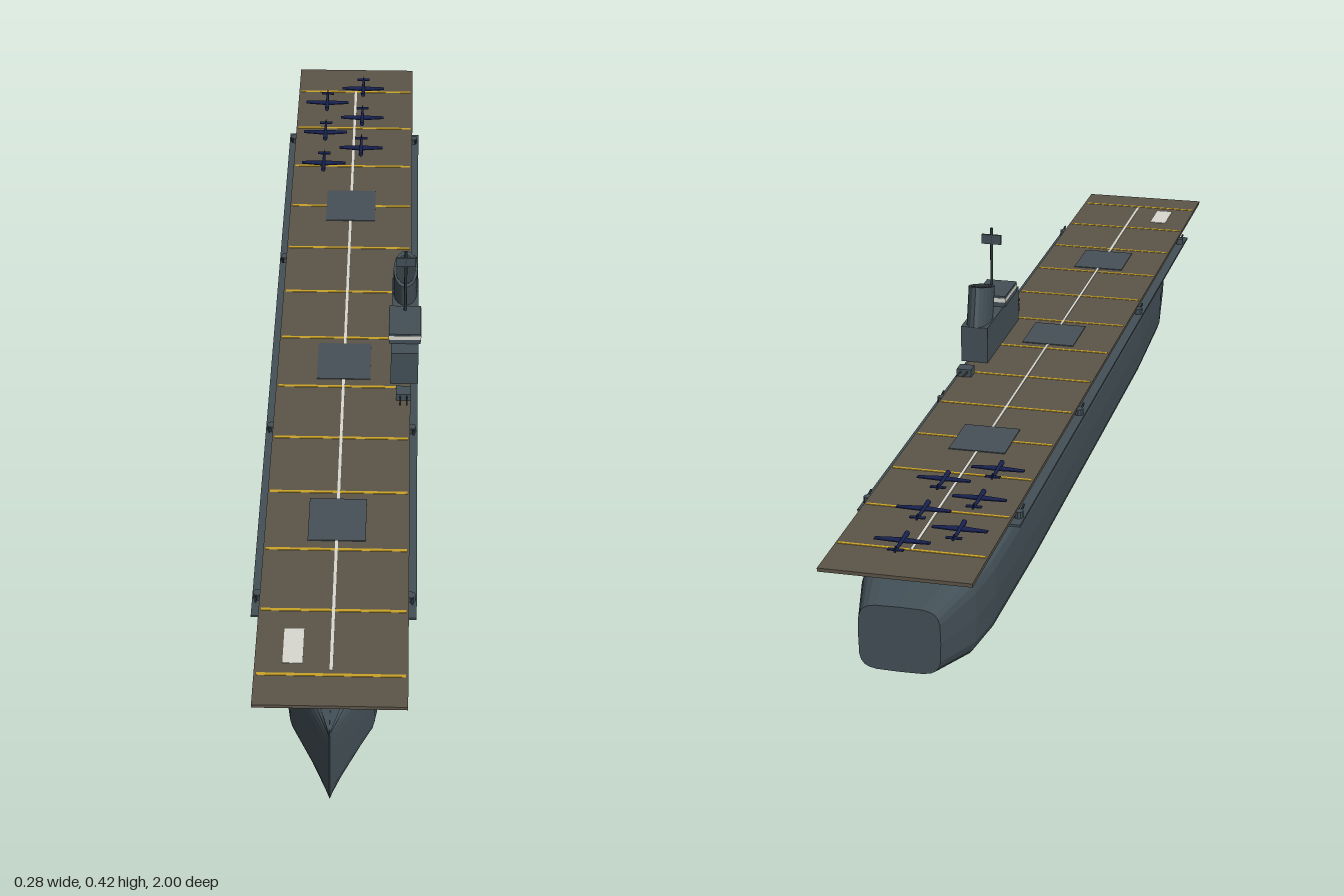
import * as THREE from 'three';

const mat = (name, color, extra = {}) => {
  const m = new THREE.MeshStandardMaterial({ color, ...extra });
  m.name = name;
  return m;
};

export function createModel() {
  const hullGrey = mat('hull grey', 0x435057, { flatShading: true });
  const liftGrey = mat('elevator grey', 0x465057);
  const deckBrown = mat('deck brown', 0x5c5549);
  const yellow = mat('stripe yellow', 0xc9a227);
  const white = mat('marking white', 0xd8d8d0, { side: THREE.DoubleSide });
  const navy = mat('aircraft navy', 0x18224f);
  const dark = mat('dark grey', 0x2c3539);

  const ship = new THREE.Group();
  ship.name = 'aircraftCarrier';
  const CX = -0.003; // hull centreline

  const add = (parent, name, geo, material, x, y, z) => {
    const mesh = new THREE.Mesh(geo, material);
    mesh.name = name;
    mesh.position.set(x, y, z);
    parent.add(mesh);
    return mesh;
  };
  const box = (parent, name, w, h, d, material, x, y, z) =>
    add(parent, name, new THREE.BoxGeometry(w, h, d), material, x, y, z);
  const cyl = (parent, name, r, h, material, x, y, z, n = 12, r2 = r) =>
    add(parent, name, new THREE.CylinderGeometry(r, r2, h, n), material, x, y, z);

  // Hull: rounded-square sections [z, half width, bottom, top], stern to bow
  const sections = [
    [-0.98, 0.066, 0.03, 0.141], [-0.87, 0.094, 0.006, 0.153], [-0.78, 0.103, 0.002, 0.156],
    [-0.5, 0.107, 0, 0.157], [0.4, 0.107, 0, 0.157], [0.65, 0.1, 0.001, 0.157],
    [0.85, 0.07, 0.005, 0.157], [0.925, 0.035, 0.009, 0.157], [1, 0.001, 0.014, 0.157],
  ];
  const N = 24, pos = [], idx = [];
  const soft = (v) => Math.sign(v) * Math.pow(Math.abs(v), 0.42);
  for (const [z, w, lo, hi] of sections) {
    for (let j = 0; j < N; j++) {
      const t = (j / N) * Math.PI * 2;
      pos.push(w * soft(Math.cos(t)), (lo + hi) / 2 + ((hi - lo) / 2) * soft(Math.sin(t)), z);
    }
  }
  for (let i = 0; i < sections.length - 1; i++) {
    for (let j = 0; j < N; j++) {
      const k = (j + 1) % N, a = i * N + j, b = i * N + k;
      idx.push(a, b, b + N, a, b + N, a + N);
    }
  }
  const last = (sections.length - 1) * N;
  for (let j = 1; j < N - 1; j++) {
    idx.push(0, j + 1, j, last, last + j, last + j + 1);
  }
  const hullGeo = new THREE.BufferGeometry();
  hullGeo.setAttribute('position', new THREE.Float32BufferAttribute(pos, 3));
  hullGeo.setIndex(idx);
  hullGeo.computeVertexNormals();
  add(ship, 'hull', hullGeo, hullGrey, CX, 0, 0);

  // Hangar and flight deck
  box(ship, 'hangar', 0.197, 0.046, 1.52, hullGrey, CX, 0.175, -0.03);
  box(ship, 'flightDeck', 0.245, 0.006, 1.985, deckBrown, CX, 0.2, -0.0075);

  // Deck markings and elevators
  for (let i = 0; i < 13; i++) {
    box(ship, 'deckStripe', 0.237, 0.001, 0.006, yellow, CX, 0.2033, -0.905 + i * 0.1517);
  }
  box(ship, 'centreLine', 0.005, 0.001, 1.81, white, CX, 0.2036, 0);
  for (const z of [-0.45, 0.08, 0.535]) {
    box(ship, 'elevator', 0.098, 0.002, 0.11, liftGrey, CX, 0.2036, z);
  }
  box(ship, 'deckPanel', 0.032, 0.001, 0.08, white, -0.065, 0.2036, 0.85);

  // Star outline for the hangar sides
  const star = new THREE.Shape();
  for (let i = 0; i < 10; i++) {
    const r = i % 2 ? 0.008 : 0.019, a = Math.PI / 2 + (i * Math.PI) / 5;
    star[i ? 'lineTo' : 'moveTo'](r * Math.cos(a), r * Math.sin(a));
  }
  const starGeo = new THREE.ShapeGeometry(star);

  // Side galleries with small gun tubs
  for (const s of [-1, 1]) {
    const x = CX + s * 0.1255;
    box(ship, 'catwalk', 0.02, 0.004, 1.515, hullGrey, x, 0.188, 0.007);
    for (const z of [-0.72, -0.27, 0.27, 0.72]) {
      cyl(ship, 'gunTub', 0.008, 0.012, hullGrey, x, 0.195, z, 10);
      const barrel = cyl(ship, 'galleryGun', 0.0018, 0.03, dark, x + s * 0.003, 0.199, z + 0.01, 6);
      barrel.rotation.x = 1.4;
    }
    const badge = add(ship, 'star', starGeo, white, CX + s * 0.0995, 0.169, 0.39);
    badge.rotation.y = (s * Math.PI) / 2;
  }

  // Island
  const island = new THREE.Group();
  island.name = 'island';
  island.position.x = 0.108;
  ship.add(island);
  box(island, 'islandBase', 0.05, 0.068, 0.24, hullGrey, 0, 0.237, 0.025);
  box(island, 'bridge', 0.058, 0.021, 0.09, hullGrey, 0, 0.2815, 0.07);
  box(island, 'bridgeWindows', 0.0595, 0.008, 0.0915, white, 0, 0.284, 0.07);
  const funnel = cyl(island, 'funnel', 0.0225, 0.075, hullGrey, 0, 0.296, -0.046, 20);
  funnel.scale.z = 2;
  funnel.rotation.x = 0.25;
  const funnelMouth = cyl(funnel, 'funnelMouth', 0.019, 0.002, dark, 0, 0.0372, 0, 20);
  funnelMouth.scale.z = 0.97;
  cyl(island, 'mast', 0.0027, 0.15, dark, 0, 0.346, 0.038, 8);
  box(island, 'radar', 0.037, 0.018, 0.005, hullGrey, 0, 0.399, 0.038);

  // Twin gun mounts before and behind the island
  for (const [z, dir] of [[0.185, 1], [-0.162, -1]]) {
    const mount = new THREE.Group();
    mount.name = 'gunMount';
    mount.position.set(0.107, 0.203, z);
    ship.add(mount);
    box(mount, 'mountHouse', 0.027, 0.014, 0.026, hullGrey, 0, 0.008, 0);
    for (const s of [-1, 1]) {
      const barrel = cyl(mount, 'gunBarrel', 0.0018, 0.035, dark, s * 0.006, 0.011, dir * 0.024, 6);
      barrel.rotation.x = Math.PI / 2 - dir * 0.1;
    }
  }

  // Parked aircraft, nose towards the bow
  const wing = new THREE.Shape();
  [[-0.045, -0.005], [0, -0.008], [0.045, -0.005], [0.045, 0.003], [0, 0.009], [-0.045, 0.003]]
    .forEach(([x, y], i) => wing[i ? 'lineTo' : 'moveTo'](x, y));
  const wingGeo = new THREE.ExtrudeGeometry(wing, { depth: 0.002, bevelEnabled: false });
  wingGeo.rotateX(Math.PI / 2);
  for (let i = 0; i < 6; i++) {
    const plane = new THREE.Group();
    plane.name = 'aircraft';
    plane.position.set(i % 2 ? -0.063 : 0.013, 0.215, -0.905 + i * 0.061);
    ship.add(plane);
    const body = cyl(plane, 'fuselage', 0.0045, 0.07, navy, 0, 0, -0.002, 8, 0.002);
    body.rotation.x = Math.PI / 2;
    add(plane, 'wings', wingGeo, navy, 0, 0.001, 0.006);
    box(plane, 'tailplane', 0.026, 0.0015, 0.008, navy, 0, 0.001, -0.031);
    box(plane, 'tailFin', 0.0015, 0.007, 0.008, navy, 0, 0.003, -0.032);
  }
  return ship;
}
